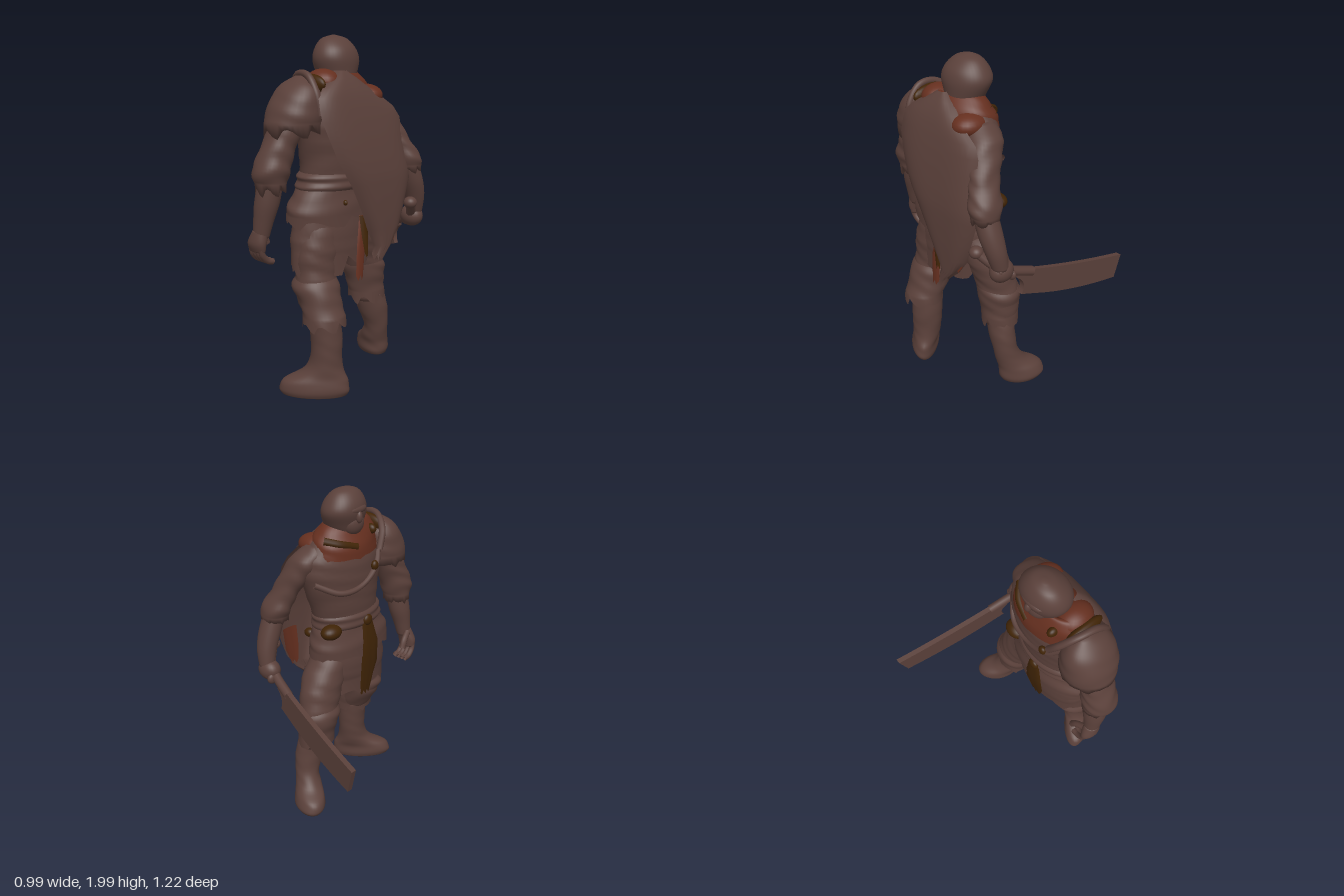
import * as THREE from 'three';

const mat = (name, color) => Object.assign(
  new THREE.MeshStandardMaterial({ color, side: THREE.DoubleSide }), { name });

export function createModel() {
  const group = new THREE.Group();
  const brown = mat('umber cloth', 0x5a403a);
  const red = mat('rust cloth', 0x652f1f);
  const dark = mat('dark leather', 0x402406);

  const add = (name, geo, m = brown) => {
    const mesh = new THREE.Mesh(geo, m);
    mesh.name = name;
    group.add(mesh);
    return mesh;
  };
  const V = p => new THREE.Vector3(...p);

  // Smooth value between p1 and p2
  const spline = (p0, p1, p2, p3, t) => p1 + 0.5 * t * (p2 - p0 +
    t * (2 * p0 - 5 * p1 + 4 * p2 - p3 + t * (3 * (p1 - p2) + p3 - p0)));

  // Smooth body from rings listed bottom to top: [y, x, z, rx, rz, turn]
  function loft(rings, { rag = 0, fold = 0, open = false, n = 36, sub = 5 } = {}) {
    const R = rings.map(r => [...r, 0].slice(0, 6)), rows = [], pos = [], idx = [];
    const at = i => R[Math.max(0, Math.min(R.length - 1, i))];
    for (let i = 0; i < R.length - 1; i++)
      for (let s = 0; s < sub; s++)
        rows.push(R[i].map((_, k) => spline(at(i - 1)[k], at(i)[k], at(i + 1)[k], at(i + 2)[k], s / sub)));
    rows.push(R[R.length - 1]);
    rows.forEach(([y, x, z, rx, rz, turn], i) => {
      const c = Math.cos(turn), s = Math.sin(turn);
      for (let j = 0; j < n; j++) {
        const a = j / n * Math.PI * 2;
        const f = 1 + fold * Math.sin(y * 60 + 2 * Math.sin(2 * a + y * 9));
        const lx = rx * f * Math.cos(a), lz = -rz * f * Math.sin(a);
        const drop = i === 0 ? rag * (((j * 7) % 6) / 9 + 0.4 * Math.abs(Math.sin(j * 0.6))) : 0;
        pos.push(x + lx * c + lz * s, y - drop, z - lx * s + lz * c);
      }
    });
    for (let i = 0; i < rows.length - 1; i++)
      for (let j = 0; j < n; j++) {
        const a = i * n + j, b = i * n + (j + 1) % n;
        idx.push(a, b, a + n, b, b + n, a + n);
      }
    if (!open) [0, rows.length - 1].forEach((r, top) => {
      const k = pos.length / 3;
      pos.push(rows[r][1], rows[r][0], rows[r][2]);
      for (let j = 0; j < n; j++) {
        const a = r * n + j, b = r * n + (j + 1) % n;
        top ? idx.push(k, a, b) : idx.push(k, b, a);
      }
    });
    return finish(pos, idx);
  }

  function finish(pos, idx) {
    const g = new THREE.BufferGeometry();
    g.setAttribute('position', new THREE.Float32BufferAttribute(pos, 3));
    g.setIndex(idx);
    g.computeVertexNormals();
    return g;
  }

  const rope = (name, pts, r, m) =>
    add(name, new THREE.TubeGeometry(new THREE.CatmullRomCurve3(pts.map(V)), 40, r, 10), m);
  const ball = (name, p, s, m) => {
    const b = add(name, new THREE.SphereGeometry(1, 24, 16), m);
    b.position.set(...p);
    b.scale.set(...s);
    return b;
  };

  // Hanging sheet from rows [y, zLeft, zRight, x], its edges curling forward
  function sheet(rows, curl, n = 16) {
    const pos = [], idx = [];
    rows.forEach(([y, z0, z1, x], i) => {
      for (let j = 0; j <= n; j++) {
        const t = j / n, u = 2 * t - 1;
        const jag = i === rows.length - 1 ? 0.015 * ((j * 5) % 3) : 0;
        pos.push(x - curl * u ** 4, y - jag, z0 + (z1 - z0) * t);
        if (i && j) {
          const b = i * (n + 1) + j, a = b - n - 1;
          idx.push(a - 1, b - 1, a, a, b - 1, b);
        }
      }
    });
    return finish(pos, idx);
  }

  // Hooded head and face
  add('head', loft([[1.68, 0.2, 0.03, 0.08, 0.09], [1.75, 0.18, 0.035, 0.1, 0.1], [1.8, 0.174, 0.032, 0.11, 0.123],
    [1.87, 0.165, 0.028, 0.12, 0.147, 0.15], [1.93, 0.16, 0.03, 0.105, 0.127, 0.15], [1.98, 0.152, 0.03, 0.062, 0.08], [2, 0.148, 0.03, 0.012, 0.015]]));
  ball('brow', [0.075, 1.885, 0.03], [0.035, 0.03, 0.08]);
  ball('nose', [0.048, 1.845, 0.03], [0.02, 0.035, 0.02]);
  ball('jaw', [0.105, 1.805, 0.035], [0.058, 0.075, 0.075]);

  // Torso, cowl and layered tunic
  add('torso', loft([[0.85, 0.21, 0.09, 0.13, 0.22], [1.02, 0.21, 0.09, 0.145, 0.25], [1.18, 0.21, 0.08, 0.15, 0.225],
    [1.35, 0.215, 0.06, 0.165, 0.25], [1.5, 0.22, 0.05, 0.175, 0.29], [1.62, 0.22, 0.05, 0.16, 0.285],
    [1.71, 0.21, 0.05, 0.12, 0.21], [1.77, 0.2, 0.04, 0.07, 0.12]], { fold: 0.012 }));
  add('cowl', loft([[1.63, 0.2, 0.055, 0.165, 0.245, 0.1], [1.69, 0.2, 0.06, 0.152, 0.235, 0.1], [1.75, 0.197, 0.065, 0.125, 0.205],
    [1.795, 0.193, 0.07, 0.095, 0.16], [1.8, 0.19, 0.06, 0.08, 0.13], [1.77, 0.18, 0.04, 0.08, 0.1]], { rag: 0.03, fold: 0.012, open: true }), red);
  ball('cowlDrapeRight', [0.275, 1.67, -0.095], [0.108, 0.065, 0.09], red);
  ball('cowlDrapeLeft', [0.225, 1.745, 0.185], [0.105, 0.075, 0.09], red);
  ball('shoulderLining', [0.21, 1.74, 0.27], [0.125, 0.055, 0.035], dark);
  rope('cowlTrim', [[0.15, 1.725, -0.15], [0.088, 1.705, -0.085], [0.054, 1.675, 0.02]], 0.022, dark);
  ball('cowlPatch', [0.09, 1.74, 0.175], [0.035, 0.03, 0.025], dark);
  add('underTunic', loft([[0.79, 0.215, 0.11, 0.145, 0.275], [0.9, 0.21, 0.1, 0.155, 0.28], [1.05, 0.21, 0.09, 0.15, 0.26]],
    { rag: 0.12, fold: 0.01, open: true }));
  add('overTunic', loft([[1.02, 0.205, 0.1, 0.17, 0.305], [1.08, 0.205, 0.1, 0.168, 0.295], [1.17, 0.21, 0.085, 0.155, 0.25],
    [1.24, 0.21, 0.08, 0.15, 0.225]], { rag: 0.06, fold: 0.012, open: true }));
  add('sash', loft([[1.16, 0.21, 0.085, 0.15, 0.24], [1.185, 0.21, 0.085, 0.166, 0.255], [1.215, 0.21, 0.08, 0.162, 0.243],
    [1.24, 0.21, 0.08, 0.166, 0.248], [1.265, 0.21, 0.075, 0.15, 0.225]], { fold: 0.006 }));
  rope('mantleHem', [[0.12, 1.66, 0.27], [0.055, 1.52, 0.18], [0.048, 1.43, 0.04], [0.07, 1.42, -0.1], [0.16, 1.48, -0.22]], 0.018);
  ball('mantleClasp', [0.045, 1.53, 0.16], [0.02, 0.03, 0.025], dark);
  ball('sashPouch', [0.115, 1.175, -0.14], [0.055, 0.045, 0.07], dark);
  ball('buckle', [0.045, 1.2, 0.1], [0.02, 0.035, 0.035], dark);

  // Hanging cloths, front and back
  add('frontTabard', sheet([[1.2, 0.14, 0.06, 0.04], [1.05, 0.18, 0.05, 0.026], [0.9, 0.19, 0.045, 0.035], [0.7, 0.15, 0.07, 0.07]], -0.01, 8), dark);
  add('backFlap', sheet([[1.02, 0.06, 0.02, 0.4], [0.85, 0.095, 0.03, 0.42], [0.68, 0.1, 0.045, 0.42]], 0.01, 6), red);
  add('backFlapPatch', sheet([[1.02, 0.07, 0.015, 0.409], [0.9, 0.065, 0.015, 0.429], [0.81, 0.045, 0.02, 0.432]], 0.01, 4), dark);
  add('cloakLining', sheet([[1.12, -0.13, -0.24, 0.445], [0.98, -0.12, -0.225, 0.445], [0.88, -0.12, -0.18, 0.45]], 0.01, 6), red);
  ball('backPouch', [0.435, 1.03, -0.02], [0.038, 0.03, 0.03], dark);
  ball('backToggle', [0.37, 1.1, 0.15], [0.015, 0.015, 0.012], dark);
  add('backCloak', sheet([[1.81, 0.13, 0.06, 0.3], [1.77, 0.2, 0, 0.34], [1.72, 0.28, -0.07, 0.37], [1.67, 0.33, -0.14, 0.395],
    [1.61, 0.335, -0.23, 0.412], [1.55, 0.335, -0.265, 0.43], [1.45, 0.3, -0.27, 0.452], [1.35, 0.26, -0.285, 0.469], [1.27, 0.215, -0.3, 0.48],
    [1.2, 0.17, -0.3, 0.485], [1.05, 0.09, -0.255, 0.485], [0.94, 0.04, -0.22, 0.48], [0.84, -0.02, -0.15, 0.475],
    [0.79, -0.01, -0.07, 0.47]], 0.045, 20));

  // Armoured shoulder and hanging arm
  add('pauldron', loft([[1.53, 0.185, 0.365, 0.155, 0.16], [1.6, 0.19, 0.355, 0.158, 0.15], [1.68, 0.19, 0.34, 0.145, 0.122],
    [1.74, 0.19, 0.325, 0.11, 0.08], [1.785, 0.185, 0.31, 0.03, 0.02]], { rag: 0.07, fold: 0.012 }));
  rope('pauldronRim', [[0.045, 1.62, 0.2], [0.07, 1.72, 0.25], [0.15, 1.79, 0.295], [0.25, 1.785, 0.315], [0.32, 1.7, 0.32], [0.345, 1.58, 0.31]], 0.02);
  add('leftSleeve', loft([[1.22, 0.165, 0.505, 0.085, 0.085], [1.29, 0.17, 0.505, 0.1, 0.105], [1.38, 0.175, 0.475, 0.095, 0.1],
    [1.48, 0.185, 0.43, 0.095, 0.095], [1.62, 0.2, 0.36, 0.1, 0.1]], { rag: 0.06, fold: 0.03 }));
  add('leftForearm', loft([[0.93, 0.125, 0.545, 0.046, 0.045], [1.02, 0.137, 0.535, 0.056, 0.056], [1.12, 0.15, 0.52, 0.068, 0.07],
    [1.24, 0.165, 0.505, 0.066, 0.07]]));
  add('leftPalm', loft([[0.85, 0.105, 0.555, 0.058, 0.03], [0.9, 0.11, 0.56, 0.064, 0.042], [0.97, 0.127, 0.545, 0.046, 0.045]]));
  for (let i = 0; i < 4; i++) {
    const x = 0.064 + i * 0.028;
    rope('leftFinger' + (i + 1), [[x, 0.88, 0.565], [x - 0.005, 0.83, 0.55], [x - 0.008, 0.795, 0.515], [x - 0.005, 0.785, 0.48]], 0.018);
  }
  rope('leftThumb', [[0.08, 0.96, 0.53], [0.065, 0.92, 0.48], [0.06, 0.87, 0.455]], 0.02);

  // Weapon arm
  add('rightSleeve', loft([[1.26, 0.4, -0.325, 0.085, 0.075], [1.32, 0.39, -0.315, 0.098, 0.085], [1.41, 0.355, -0.275, 0.09, 0.075],
    [1.52, 0.3, -0.23, 0.1, 0.08], [1.62, 0.25, -0.18, 0.1, 0.09], [1.69, 0.23, -0.13, 0.06, 0.06]], { rag: 0.04, fold: 0.035 }));
  add('rightForearm', loft([[0.97, 0.385, -0.42, 0.048, 0.046], [1.07, 0.4, -0.4, 0.06, 0.06], [1.17, 0.405, -0.365, 0.068, 0.068],
    [1.28, 0.4, -0.325, 0.066, 0.066]]));
  ball('rightFist', [0.37, 0.945, -0.415], [0.075, 0.065, 0.06]);
  for (let i = 0; i < 4; i++)
    ball('rightKnuckle' + (i + 1), [0.32 + i * 0.03, 0.91 + i * 0.017, -0.435 + i * 0.004], [0.022, 0.035, 0.038]);

  // Cleaver: blade outline slanted outward along its length
  const outline = new THREE.Shape();
  outline.moveTo(0.27, 0.91);
  outline.quadraticCurveTo(-0.12, 0.79, -0.5, 0.73);
  outline.lineTo(-0.46, 0.58);
  outline.quadraticCurveTo(-0.12, 0.61, 0.15, 0.71);
  outline.lineTo(0.24, 0.74);
  outline.quadraticCurveTo(0.2, 0.81, 0.27, 0.86);
  const blade = new THREE.ExtrudeGeometry(outline, { depth: 0.032, bevelEnabled: false, curveSegments: 16 });
  const bp = blade.attributes.position;
  for (let i = 0; i < bp.count; i++) bp.setZ(i, bp.getZ(i) - 0.614 + (bp.getX(i) + 0.5) * 0.22);
  blade.computeVertexNormals();
  add('blade', blade);
  rope('hilt', [[0.16, 0.86, -0.455], [0.3, 0.915, -0.42], [0.38, 0.96, -0.39], [0.45, 1.05, -0.31]], 0.028);
  ball('pommel', [0.45, 1.05, -0.305], [0.04, 0.035, 0.04]);

  // Trousers, ragged cuffs and boots
  add('leftTrouser', loft([[0.45, 0.32, 0.265, 0.09, 0.1], [0.6, 0.26, 0.265, 0.12, 0.125], [0.72, 0.25, 0.255, 0.105, 0.125],
    [0.85, 0.245, 0.235, 0.11, 0.14], [1, 0.22, 0.2, 0.12, 0.13]], { fold: 0.03 }));
  add('leftCuff', loft([[0.46, 0.34, 0.275, 0.115, 0.125], [0.54, 0.305, 0.27, 0.115, 0.12], [0.63, 0.26, 0.27, 0.133, 0.135],
    [0.68, 0.25, 0.26, 0.11, 0.12]], { rag: 0.06, fold: 0.02, open: true }));
  add('leftBoot', loft([[0.008, 0.305, 0.32, 0.185, 0.078, 0.75], [0.04, 0.305, 0.322, 0.2, 0.088, 0.75], [0.09, 0.31, 0.315, 0.185, 0.085, 0.75],
    [0.14, 0.33, 0.28, 0.125, 0.085, 0.75], [0.21, 0.337, 0.262, 0.092, 0.09, 0.75], [0.33, 0.335, 0.255, 0.09, 0.095, 0.75],
    [0.48, 0.32, 0.26, 0.09, 0.1, 0.75]], { fold: 0.012 }));
  add('rightTrouser', loft([[0.42, 0.19, -0.24, 0.085, 0.095], [0.58, 0.175, -0.22, 0.11, 0.125], [0.7, 0.18, -0.19, 0.11, 0.135],
    [0.84, 0.2, -0.135, 0.12, 0.145], [1, 0.215, -0.03, 0.12, 0.13]], { fold: 0.03 }));
  add('rightCuff', loft([[0.47, 0.18, -0.23, 0.105, 0.12], [0.54, 0.175, -0.22, 0.11, 0.12], [0.63, 0.17, -0.21, 0.125, 0.138],
    [0.68, 0.175, -0.195, 0.11, 0.125]], { rag: 0.07, fold: 0.02, open: true }));
  add('rightBoot', loft([[0.03, 0.12, -0.36, 0.13, 0.085, -0.5], [0.06, 0.12, -0.36, 0.145, 0.095, -0.5], [0.11, 0.13, -0.35, 0.13, 0.09, -0.5],
    [0.16, 0.17, -0.32, 0.095, 0.08, -0.5], [0.24, 0.2, -0.3, 0.075, 0.075, -0.5], [0.36, 0.2, -0.265, 0.08, 0.095, -0.5],
    [0.46, 0.19, -0.24, 0.085, 0.095, -0.5]], { fold: 0.012 }));
  return group;
}
